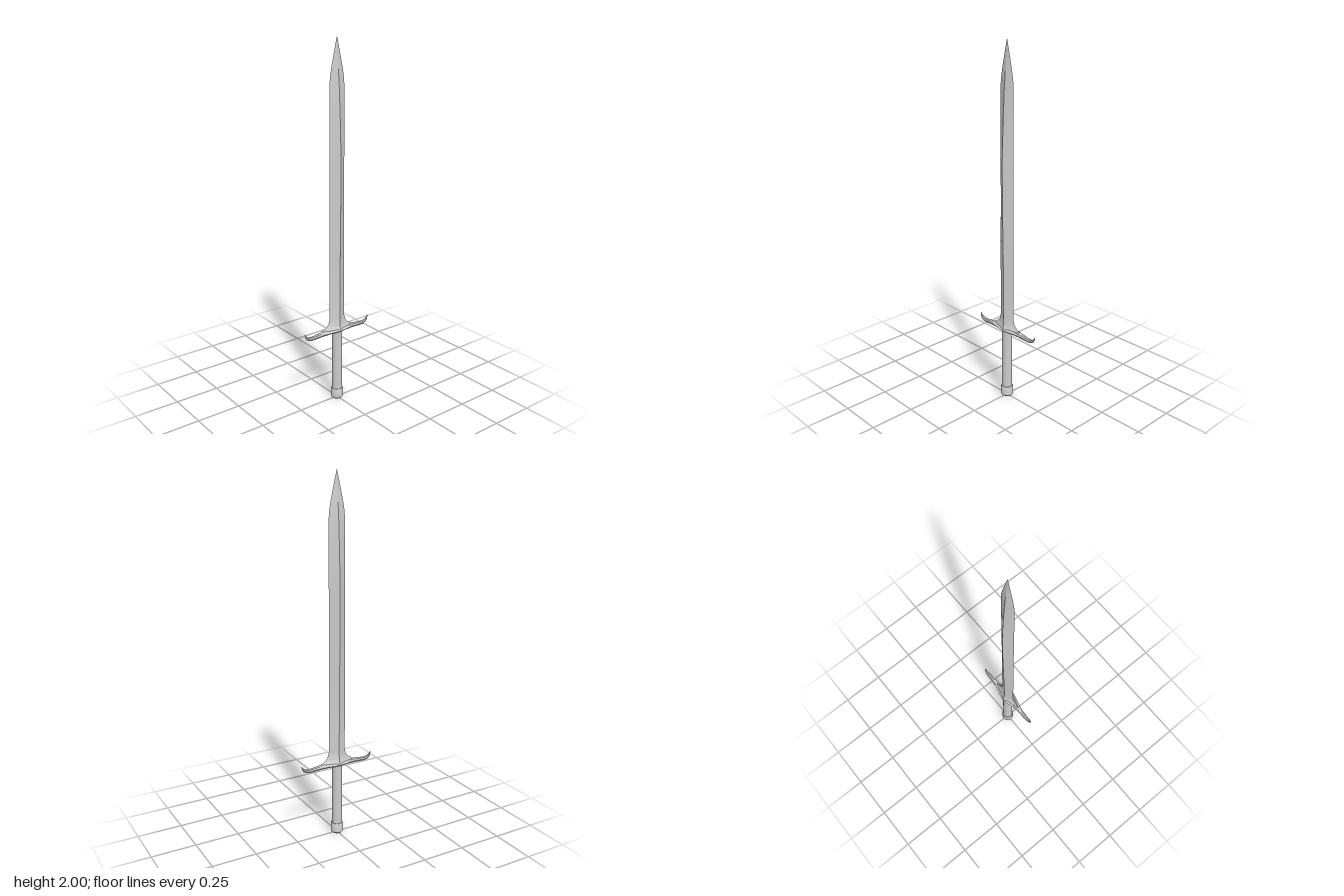
import * as THREE from 'three';
import { toCreasedNormals } from 'three/addons/utils/BufferGeometryUtils.js';

const grey = () => new THREE.MeshStandardMaterial({ color: 0xcccccc });

// Skin a list of equal-sized rings of [x, y, z] points.
function loft(rings) {
  const n = rings[0].length;
  const index = [];
  for (let i = 0; i < rings.length - 1; i++) {
    for (let j = 0; j < n; j++) {
      const a = i * n + j, b = i * n + (j + 1) % n;
      index.push(a, b, b + n, a, b + n, a + n);
    }
  }
  const geo = new THREE.BufferGeometry();
  geo.setAttribute('position', new THREE.Float32BufferAttribute(rings.flat(2), 3));
  geo.setIndex(index);
  return geo;
}

function addMesh(group, name, geo, crease) {
  const mesh = new THREE.Mesh(toCreasedNormals(geo, crease), grey());
  mesh.name = name;
  group.add(mesh);
}

export function createModel() {
  const sword = new THREE.Group();
  sword.name = 'sword';

  // Blade: diamond sections as [y, half thickness, half width]
  const bladeSections = [
    [0.425, 0.035, 0.11], [0.437, 0.031, 0.09], [0.45, 0.028, 0.07],
    [0.468, 0.026, 0.057], [0.495, 0.025, 0.05], [0.8, 0.028, 0.05],
    [1.22, 0.034, 0.048], [1.4, 0.034, 0.048], [1.6, 0.027, 0.048],
    [1.75, 0.019, 0.048], [1.8, 0.015, 0.044], [1.85, 0.011, 0.035],
    [1.9, 0.006, 0.024], [1.95, 0.002, 0.012], [2, 0.0002, 0.0003],
  ];
  addMesh(sword, 'blade', loft(bladeSections.map(([y, t, w]) =>
    [[t, y, 0], [0, y, -w], [-t, y, 0], [0, y, w]])), 0.4);

  // Crossguard: sections as [lower z, lower y, upper z, upper y, half thickness]
  const half = [
    [0, 0.408, 0, 0.435, 0.04], [0.03, 0.408, 0.03, 0.433, 0.034],
    [0.06, 0.407, 0.06, 0.431, 0.026], [0.1, 0.403, 0.1, 0.43, 0.016],
    [0.14, 0.4, 0.14, 0.425, 0.012], [0.17, 0.399, 0.168, 0.422, 0.011],
    [0.19, 0.402, 0.186, 0.422, 0.01], [0.206, 0.411, 0.2, 0.426, 0.008],
    [0.216, 0.427, 0.21, 0.436, 0.005], [0.22, 0.446, 0.219, 0.447, 0.0005],
  ];
  const mirrored = half.slice(1).reverse().map(([a, b, c, d, t]) => [-a, b, -c, d, t]);
  const guardRings = [...mirrored, ...half].map(([z0, y0, z1, y1, t]) =>
    Array.from({ length: 8 }, (_, k) => {
      const angle = k * Math.PI / 4;
      const v = 0.5 + 0.5 * Math.sin(angle);
      return [t * Math.cos(angle), y0 + (y1 - y0) * v, z0 + (z1 - z0) * v];
    }));
  addMesh(sword, 'crossguard', loft(guardRings), 0.7);

  // Grip
  const grip = new THREE.CylinderGeometry(0.028, 0.028, 0.37, 20);
  grip.translate(0, 0.235, 0);
  addMesh(sword, 'grip', grip, 0.6);

  // Pommel cap with bevelled rims
  const profile = [[0, 0], [0.028, 0], [0.034, 0.007], [0.034, 0.055], [0.031, 0.06], [0, 0.06]]
    .map(([r, y]) => new THREE.Vector2(r, y));
  addMesh(sword, 'pommel', new THREE.LatheGeometry(profile, 20), 0.6);

  return sword;
}
